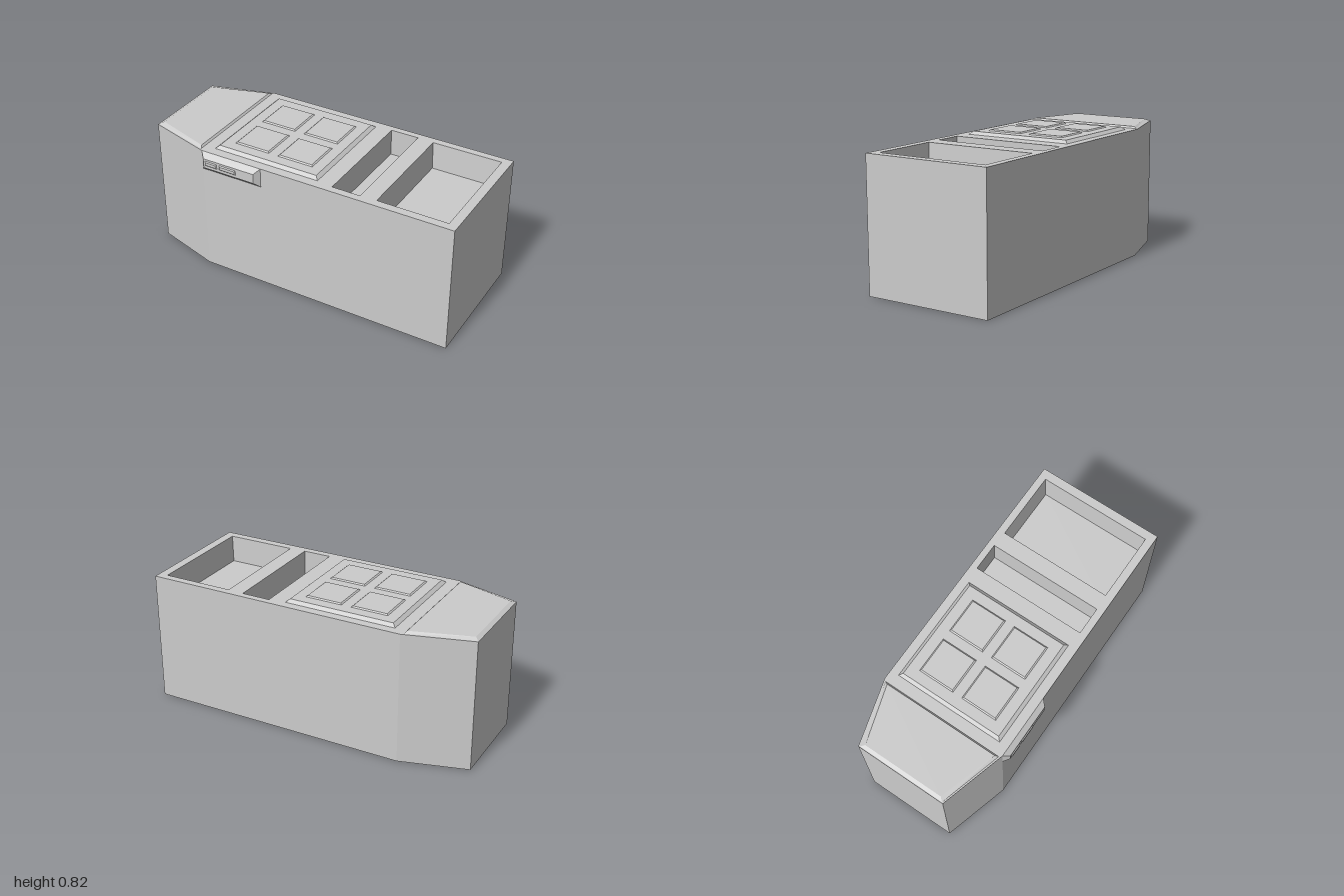
import * as THREE from 'three';

const material = new THREE.MeshStandardMaterial({ color: 0xcccccc, flatShading: true });

// Rectangle as [x, z] corners, counter-clockwise seen from above.
const rect = (x0, x1, z0, z1) => [[x0, z1], [x1, z1], [x1, z0], [x0, z0]];

// Joins horizontal rings { y, pts }; rings listed downward give inward-facing walls.
function loft(name, rings, { start = false, end = true } = {}) {
  const pos = [];
  const put = (ring, i) => pos.push(ring.pts[i][0], ring.y, ring.pts[i][1]);
  for (let r = 0; r < rings.length - 1; r++) {
    const a = rings[r], b = rings[r + 1], n = a.pts.length;
    for (let i = 0; i < n; i++) {
      const j = (i + 1) % n;
      put(a, i); put(a, j); put(b, j);
      put(a, i); put(b, j); put(b, i);
    }
  }
  const first = rings[0], last = rings[rings.length - 1];
  for (let i = 1; i < first.pts.length - 1; i++) {
    if (end) { put(last, 0); put(last, i); put(last, i + 1); }
    if (start) { put(first, 0); put(first, i + 1); put(first, i); }
  }
  const geometry = new THREE.BufferGeometry();
  geometry.setAttribute('position', new THREE.Float32BufferAttribute(pos, 3));
  geometry.computeVertexNormals();
  const mesh = new THREE.Mesh(geometry, material);
  mesh.name = name;
  return mesh;
}

// Rectangular block whose upper face is inset on all sides.
const bevelled = (name, x0, x1, z0, z1, y0, y1, inset) => loft(name, [
  { y: y0, pts: rect(x0, x1, z0, z1) },
  { y: y1, pts: rect(x0 + inset, x1 - inset, z0 + inset, z1 - inset) },
]);

export function createModel() {
  const model = new THREE.Group();
  model.name = 'kitchenCounter';
  const top = 0.8;

  // Cabinet with a tapered end
  const outline = [[-1, 0.265], [-0.6, 0.38], [1, 0.38], [1, -0.415], [-0.6, -0.415], [-1, -0.3]];
  model.add(loft('cabinet', [{ y: 0, pts: outline }, { y: top, pts: outline }], { start: true, end: false }));

  // Worktop with openings for the two basins
  const basins = [
    { name: 'largeBasin', pts: rect(0.515, 0.945, -0.37, 0.33), floor: rect(0.525, 0.937, -0.357, 0.322), depth: 0.165 },
    { name: 'narrowBasin', pts: rect(0.24, 0.415, -0.375, 0.335), floor: rect(0.24, 0.415, -0.375, 0.335), depth: 0.165 },
  ];
  const toPoints = pts => pts.map(([x, z]) => new THREE.Vector2(x, -z));
  const shape = new THREE.Shape(toPoints(outline));
  for (const b of basins) {
    shape.holes.push(new THREE.Path(toPoints(b.pts)));
    model.add(loft(b.name, [{ y: top, pts: b.pts }, { y: top - b.depth, pts: b.floor }]));
  }
  const worktop = new THREE.Mesh(new THREE.ShapeGeometry(shape).rotateX(-Math.PI / 2).translate(0, top, 0), material);
  worktop.name = 'worktop';
  model.add(worktop);

  // Low raised board on the tapered end
  model.add(loft('endBoard', [
    { y: top, pts: [[-0.995, 0.257], [-0.615, 0.365], [-0.615, -0.4], [-0.995, -0.292]] },
    { y: 0.811, pts: [[-0.975, 0.235], [-0.625, 0.345], [-0.625, -0.38], [-0.975, -0.27]] },
  ]));

  // Hob plate and its four square burners
  const hob = new THREE.Group();
  hob.name = 'hob';
  hob.add(bevelled('hobPlate', -0.545, 0.14, -0.362, 0.323, top, 0.818, 0.02));
  for (const x of [-0.46, -0.172]) {
    for (const z of [-0.277, 0.01]) {
      hob.add(bevelled('burner', x, x + 0.228, z, z + 0.228, 0.818, 0.825, 0.008));
    }
  }
  model.add(hob);

  // Control panel, built lying down (z = -height) and tipped to face forward
  const panel = new THREE.Group();
  panel.name = 'controlPanel';
  panel.add(bevelled('panelHousing', -0.6, -0.2, -0.8, -0.68, 0.38, 0.411, 0.03));
  for (const [x0, x1] of [[-0.56, -0.478], [-0.462, -0.35]]) {
    panel.add(bevelled('button', x0, x1, -0.757, -0.727, 0.411, 0.417, 0.006));
  }
  panel.rotation.x = Math.PI / 2;
  model.add(panel);

  return model;
}
